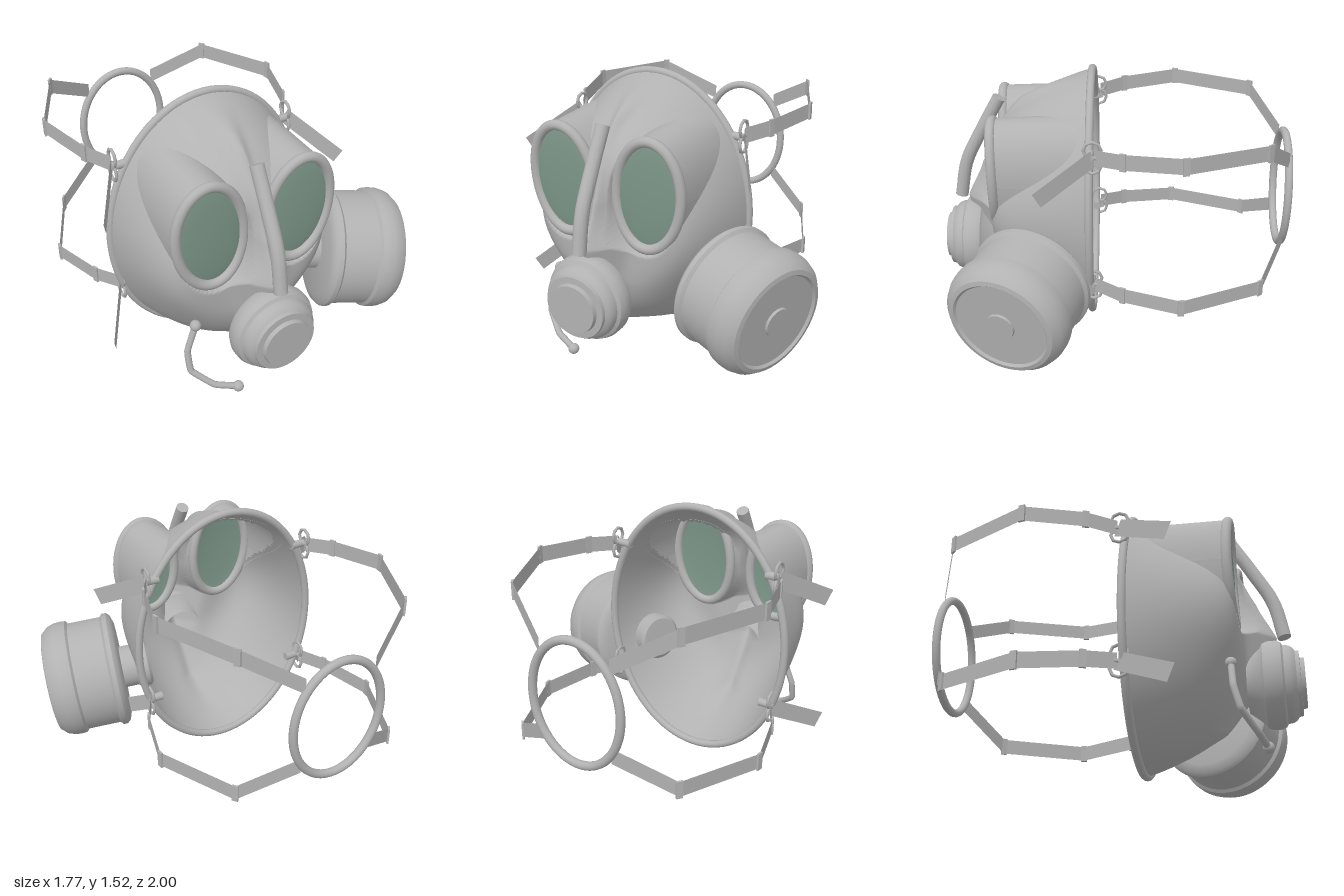
import * as THREE from 'three';
import { toCreasedNormals } from 'three/addons/utils/BufferGeometryUtils.js';

const CX = -0.17, CY = 0.76, RIM_A = 0.57, RIM_B = 0.738, RIM_Z = 0.13;
const EYE = { x: 0.257, y: 1.01, a: 0.188, b: 0.295, z: 0.665, tilt: 0.09 };
const V = (x, y, z) => new THREE.Vector3(x, y, z);
const smooth = THREE.MathUtils.smoothstep;

// Point on an eye ellipse; side is +1 or -1, x is measured from the mask's middle
function eyePoint(side, t, s) {
  const u = EYE.a * s * Math.cos(t), v = EYE.b * s * Math.sin(t);
  const c = Math.cos(EYE.tilt), n = Math.sin(EYE.tilt);
  return [side * (EYE.x + u * c + v * n), EYE.y - u * n + v * c];
}

// 1 on the eye ring, less inside it
function eyeDistance(x, y) {
  const dx = Math.abs(x) - EYE.x, dy = y - EYE.y;
  const c = Math.cos(EYE.tilt), n = Math.sin(EYE.tilt);
  return Math.hypot((dx * c - dy * n) / EYE.a, (dx * n + dy * c) / EYE.b);
}

// Height of the nose and chin ridge
function ridge(y) {
  const k = [[-0.1, 0.2], [0.2, 0.6], [0.5, 0.82], [0.73, 0.89], [0.95, 0.82], [1.35, 0.6], [1.7, 0.4]];
  let i = 0;
  while (i < k.length - 2 && y > k[i + 1][0]) i++;
  return THREE.MathUtils.mapLinear(y, k[i][0], k[i + 1][0], k[i][1], k[i + 1][1]);
}

// Front surface of the face piece
function faceZ(x, y) {
  const r = Math.min(1, Math.hypot(x / RIM_A, (y - CY) / RIM_B));
  const p = 4.2 + 4.5 * Math.exp(-(((y - 0.8) / 0.25) ** 2));
  const dome = RIM_Z + 0.56 * (1 - r ** p);
  const nose = ridge(y) - (1.2 + 1.6 * smooth(y, 0.72, 0.95)) * Math.sqrt(x * x + 0.0004);
  const blend = 0.5 * (dome + nose + Math.sqrt((dome - nose) ** 2 + 0.002));
  const z = dome + (blend - dome) * smooth(1 - r, 0, 0.3);
  return Math.min(z, 0.65 + Math.max(0, eyeDistance(x, y) - 1.05) * 0.8);
}

function indexed(pos, idx) {
  const g = new THREE.BufferGeometry();
  g.setAttribute('position', new THREE.Float32BufferAttribute(pos, 3));
  g.setIndex(idx);
  g.computeVertexNormals();
  return g;
}

// Face piece as rings of points, with the eye openings left out
function faceGeometry() {
  const N = 160, M = 72, pos = [], idx = [];
  for (let j = 0; j <= M; j++) {
    const r = 1 - (1 - j / M) ** 1.5;
    for (let i = 0; i < N; i++) {
      const t = (i / N) * Math.PI * 2;
      const x = RIM_A * r * Math.cos(t), y = CY + RIM_B * r * Math.sin(t);
      pos.push(CX + x, y, faceZ(x, y));
    }
  }
  for (let j = 0; j < M; j++) for (let i = 0; i < N; i++) {
    const a = j * N + i, b = j * N + (i + 1) % N, c = a + N, d = b + N;
    const mx = (pos[a * 3] + pos[d * 3]) / 2 - CX, my = (pos[a * 3 + 1] + pos[d * 3 + 1]) / 2;
    if (eyeDistance(mx, my) < 1) continue;
    if (j > 0) idx.push(a, d, b);
    idx.push(a, c, d);
  }
  return indexed(pos, idx);
}

// Wall from an eye ring back to the face piece
function cowlGeometry(side) {
  const N = 72, pos = [], idx = [];
  for (let i = 0; i <= N; i++) {
    const t = (i / N) * Math.PI * 2;
    const [x0, y0] = eyePoint(side, t, 1.04), [x1, y1] = eyePoint(side, t, 1.09);
    pos.push(CX + x0, y0, 0.655, CX + x1, y1, faceZ(x1, y1) - 0.004);
    if (i < N) { const k = i * 2; idx.push(k, k + 1, k + 3, k, k + 3, k + 2); }
  }
  return indexed(pos, idx);
}

// Closed round tube through points given by f(angle)
function loopTube(f, r, n = 48, radial = 12) {
  const pts = Array.from({ length: n }, (_, i) => f((i / n) * Math.PI * 2));
  return new THREE.TubeGeometry(new THREE.CatmullRomCurve3(pts, true), n * 2, r, radial, true);
}

function lathe(profile) {
  const pts = profile.map(([r, y]) => new THREE.Vector2(r, y));
  return toCreasedNormals(new THREE.LatheGeometry(pts, 64), 0.6);
}

// Flat ribbon of separate segments; each point is widened along up
function ribbon(points, up) {
  const pos = [], idx = [];
  for (let i = 0; i < points.length - 1; i++) {
    for (const p of [points[i], points[i + 1]]) {
      pos.push(...p.clone().sub(up).toArray(), ...p.clone().add(up).toArray());
    }
    const k = i * 4;
    idx.push(k, k + 2, k + 3, k, k + 3, k + 1);
  }
  return indexed(pos, idx);
}

export function createModel() {
  const model = new THREE.Group();
  const rubber = new THREE.MeshStandardMaterial({ color: 0xb2b2b2, side: THREE.DoubleSide });
  rubber.name = 'grey rubber';
  const glass = new THREE.MeshStandardMaterial({ color: 0x7c9587, side: THREE.DoubleSide });
  glass.name = 'green glass';
  const add = (name, geo, mat = rubber, parent = model) => {
    const m = new THREE.Mesh(geo, mat);
    m.name = name;
    parent.add(m);
    return m;
  };

  // Face piece and its rim
  add('facePiece', faceGeometry());
  add('rim', loopTube(t => V(CX + RIM_A * Math.cos(t), CY + RIM_B * Math.sin(t), RIM_Z), 0.022));

  // Eyes
  for (const side of [-1, 1]) {
    add('eyeCowl', cowlGeometry(side));
    add('eyeRing', loopTube(t => {
      const [x, y] = eyePoint(side, t, 1);
      return V(CX + x, y, EYE.z - 0.012 * Math.abs(Math.cos(t)) ** 2);
    }, 0.028));
    const lens = add('lens', new THREE.SphereGeometry(1, 40, 10, 0, Math.PI * 2, 0, Math.PI / 2).rotateX(Math.PI / 2), glass);
    lens.scale.set(EYE.a, EYE.b, 0.025);
    lens.rotation.z = -side * EYE.tilt;
    lens.position.set(CX + side * EYE.x, EYE.y, 0.65);
  }

  // Nose strip
  const nosePath = new THREE.CatmullRomCurve3([V(CX, 1.345, 0.655), V(CX, 1.15, 0.765), V(CX, 0.95, 0.865), V(CX, 0.735, 0.91)]);
  const round = new THREE.Shape().absarc(0, 0, 0.037, 0, Math.PI * 2);
  add('noseStrip', toCreasedNormals(new THREE.ExtrudeGeometry(round, { steps: 20, extrudePath: nosePath, curveSegments: 16 }), 0.7));

  // Mouth valve
  const valve = add('mouthValve', lathe([[0.14, 0.7], [0.2, 0.775], [0.225, 0.79], [0.235, 0.815], [0.235, 0.86], [0.225, 0.885],
    [0.208, 0.895], [0.205, 0.92], [0.195, 0.94], [0.175, 0.955], [0.172, 0.975], [0.137, 0.977], [0.132, 1], [0, 1]]));
  valve.rotation.x = Math.PI / 2;
  valve.position.set(CX, 0.46, 0);

  // Filter canister on its neck
  const filter = new THREE.Group();
  filter.name = 'filter';
  filter.position.set(0.38, 0.5, 0.43);
  filter.quaternion.setFromUnitVectors(V(0, 1, 0), V(0.41, -0.06, 0.15).normalize());
  model.add(filter);
  add('canister', lathe([[0, 0], [0.28, 0], [0.325, 0.015], [0.342, 0.035], [0.342, 0.06], [0.325, 0.075], [0.325, 0.27],
    [0.342, 0.283], [0.345, 0.31], [0.343, 0.35], [0.328, 0.395], [0.295, 0.432], [0.27, 0.438], [0.258, 0.425],
    [0.08, 0.425], [0.077, 0.438], [0, 0.438]]), rubber, filter);
  add('filterNeck', lathe([[0, -0.17], [0.12, -0.17], [0.14, -0.155], [0.14, -0.09], [0.125, -0.08], [0.125, 0.01]]), rubber, filter);

  // Microphone boom
  const boom = [V(-0.51, 0.455, 0.64), V(-0.565, 0.31, 0.65), V(-0.562, 0.19, 0.68), V(-0.46, 0.1, 0.75), V(-0.335, 0.06, 0.79)];
  const boomPath = new THREE.CatmullRomCurve3(boom, false, 'catmullrom', 0.15);
  add('microphoneBoom', new THREE.TubeGeometry(boomPath, 48, 0.018, 10));
  for (const p of [boom[0], boom[4]]) add('boomBall', new THREE.SphereGeometry(0.03, 20, 14)).position.copy(p);

  // Back ring joining the straps
  add('backRing', loopTube(t => V(CX + 0.268 * Math.cos(t), 0.8 + 0.338 * Math.sin(t), -0.975), 0.023));

  // Four straps with tails, collars and buckles
  for (const side of [-1, 1]) for (const level of [1, -1]) {
    const strap = new THREE.Group();
    strap.name = level > 0 ? 'upperStrap' : 'lowerStrap';
    model.add(strap);
    const at = (x, rise, z) => V(CX + side * x, 0.82 + level * rise, z);
    const path = [at(0.52, 0.385, 0.1), at(0.61, 0.4, -0.05), at(0.7, 0.42, -0.37), at(0.5, 0.41, -0.82), at(0.21, 0.24, -0.975)];
    add('strapBand', ribbon(path, V(0, 0.044, 0)), rubber, strap);
    for (let i = 1; i < 4; i++) {
      const collar = add('strapCollar', new THREE.BoxGeometry(0.012, 0.098, 0.035), rubber, strap);
      collar.position.copy(path[i]);
      const d = path[i + 1].clone().sub(path[i - 1]);
      collar.rotation.y = Math.atan2(d.x, d.z);
    }

    // Loose tail hangs forward and down
    const hook = path[0];
    const end = hook.clone().add(V(side * 0.175, -0.165, 0.29));
    add('strapTail', ribbon([hook, end], V(side * 0.012, 0.042, 0.02)), rubber, strap);

    // Double loop buckle and its peg
    for (const dy of [-0.042, 0.042]) {
      const loop = add('buckleLoop', new THREE.TorusGeometry(0.047, 0.009, 8, 8), rubber, strap);
      loop.rotation.y = Math.PI / 2;
      loop.position.copy(hook).add(V(0, dy, 0.01));
    }
    const peg = add('bucklePeg', new THREE.CylinderGeometry(0.02, 0.025, 0.09, 14), rubber, strap);
    peg.rotation.z = -side * Math.PI / 2;
    peg.position.copy(hook).add(V(-side * 0.035, 0, 0.025));
  }
  return model;
}
